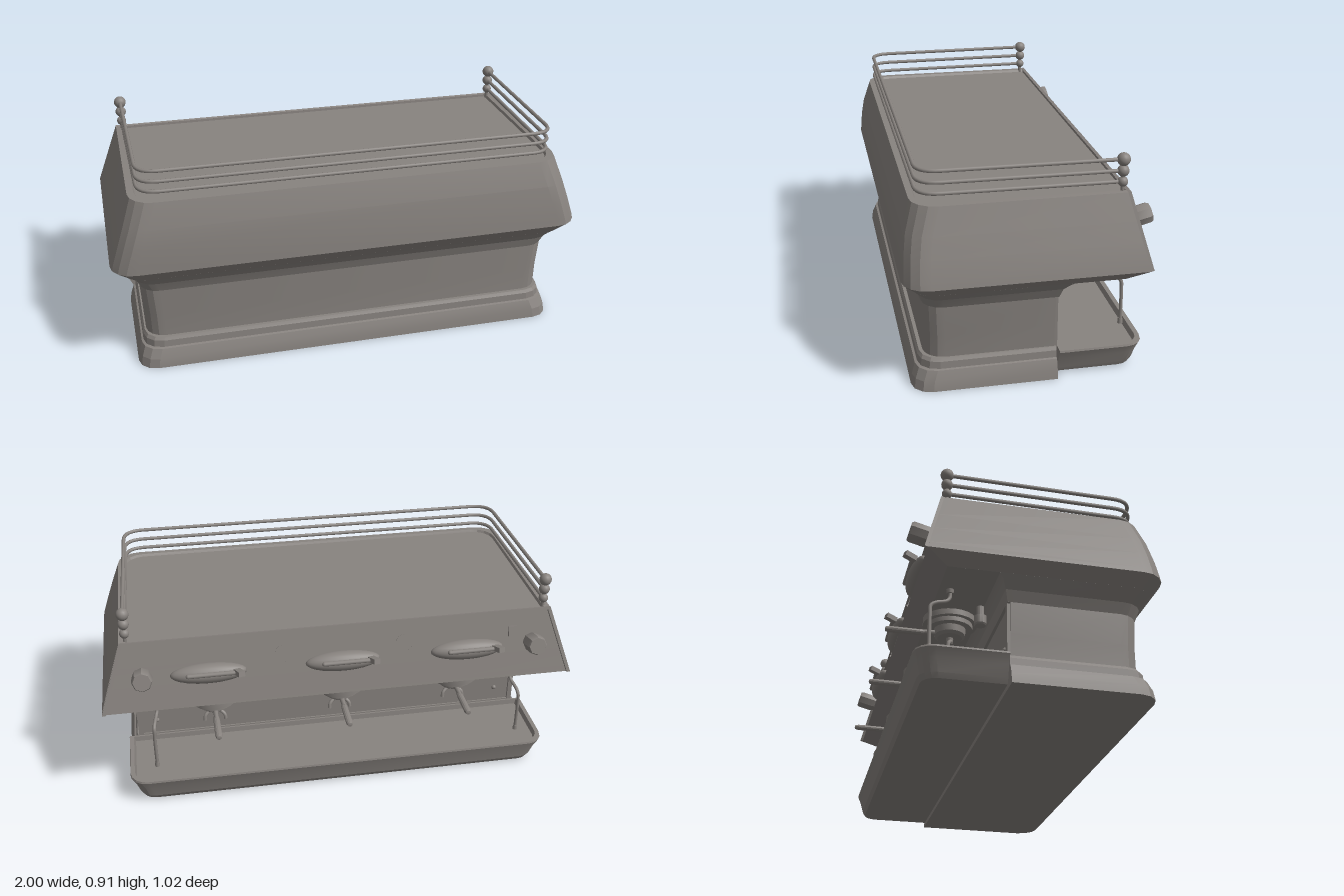
import * as THREE from 'three';
import { toCreasedNormals } from 'three/addons/utils/BufferGeometryUtils.js';

const mat = new THREE.MeshStandardMaterial({ color: 0x88837f });
const V = (x, y, z) => new THREE.Vector3(x, y, z);

function add(parent, name, geo, pos = [0, 0, 0], rot = [0, 0, 0], scale = [1, 1, 1]) {
  const m = new THREE.Mesh(geo, mat);
  m.name = name;
  m.position.set(...pos);
  m.rotation.set(...rot);
  m.scale.set(...scale);
  parent.add(m);
}

// Plan outline: square corners at zb, faceted round corners at zf
function ring([y, w, zb, zf, r], n) {
  const pts = [[w, y, zb]];
  for (const side of [1, -1]) {
    for (let i = 0; i <= n; i++) {
      const a = (side > 0 ? i / n : 1 - i / n) * Math.PI / 2;
      pts.push([side * (w - r + r * Math.cos(a)), y, zf - r + r * Math.sin(a)]);
    }
  }
  pts.push([-w, y, zb]);
  return pts;
}

// Closed shell through a stack of outlines [y, halfWidth, zBack, zFront, radius]
function loft(sections, corner) {
  const rings = sections.map(s => ring(s, corner)), n = rings[0].length, idx = [];
  for (let k = 0; k < rings.length - 1; k++) {
    for (let i = 0; i < n; i++) {
      const a = k * n + i, b = k * n + (i + 1) % n;
      idx.push(a, a + n, b, b, a + n, b + n);
    }
  }
  const top = (rings.length - 1) * n;
  for (let i = 1; i < n - 1; i++) idx.push(0, i, i + 1, top, top + i + 1, top + i);
  const g = new THREE.BufferGeometry();
  g.setAttribute('position', new THREE.Float32BufferAttribute(rings.flat(2), 3));
  g.setIndex(idx);
  return toCreasedNormals(g, 0.25);
}

const lathe = (pts, seg = 24) =>
  toCreasedNormals(new THREE.LatheGeometry(pts.map(p => new THREE.Vector2(...p)), seg), 0.5);
const tube = (pts, r, seg = 24) =>
  new THREE.TubeGeometry(new THREE.CatmullRomCurve3(pts, false, 'centripetal'), seg, r, 8);

// U-shaped rail with rounded front corners
function railGeometry(y) {
  const xb = 0.878, xf = 0.868, zb = -0.333, zf = 0.441, r = 0.09;
  const path = new THREE.CurvePath();
  path.add(new THREE.LineCurve3(V(-xb, y, zb), V(-xf, y, zf - r)));
  path.add(new THREE.QuadraticBezierCurve3(V(-xf, y, zf - r), V(-xf, y, zf), V(-xf + r, y, zf)));
  path.add(new THREE.LineCurve3(V(-xf + r, y, zf), V(xf - r, y, zf)));
  path.add(new THREE.QuadraticBezierCurve3(V(xf - r, y, zf), V(xf, y, zf), V(xf, y, zf - r)));
  path.add(new THREE.LineCurve3(V(xf, y, zf - r), V(xb, y, zb)));
  return new THREE.TubeGeometry(path, 160, 0.008, 8);
}

function brewGroup(x) {
  const g = new THREE.Group();
  g.name = 'brewGroup';
  g.position.set(x, 0, -0.248);
  add(g, 'groupHead', lathe([[0, 0.35], [0.05, 0.35], [0.062, 0.36], [0.065, 0.387], [0.092, 0.387],
    [0.092, 0.406], [0.11, 0.406], [0.11, 0.435]]));
  add(g, 'filterArm', new THREE.CylinderGeometry(0.009, 0.012, 0.08, 10), [0, 0.37, -0.085], [-Math.PI / 2, 0, 0]);
  add(g, 'filterHandle', lathe([[0, 0], [0.011, 0], [0.014, 0.03], [0.015, 0.14], [0.011, 0.155], [0, 0.158]], 12),
    [0, 0.366, -0.105], [-Math.PI / 2, 0, 0], [1, 1, 0.85]);
  add(g, 'spoutStem', new THREE.CylinderGeometry(0.016, 0.012, 0.03, 10), [0, 0.34, 0]);
  for (const s of [-1, 1]) {
    add(g, 'spout', tube([V(0, 0.338, 0.005), V(s * 0.025, 0.325, -0.002), V(s * 0.042, 0.31, -0.012),
      V(s * 0.045, 0.29, -0.016)], 0.008, 10));
  }
  return g;
}

// Raised edge around the top and sides of the control panel
function panelRim() {
  const s = new THREE.Shape();
  s.moveTo(1, -0.15).lineTo(0.905, 0.15).lineTo(-0.905, 0.15).lineTo(-1, -0.15);
  s.lineTo(-0.985, -0.15).lineTo(-0.894, 0.138).lineTo(0.894, 0.138).lineTo(0.985, -0.15);
  return new THREE.ExtrudeGeometry(s, { depth: 0.0125, bevelEnabled: false });
}

export function createModel() {
  const model = new THREE.Group();
  model.name = 'espressoMachine';

  // Base plinth with stepped moulding
  add(model, 'base', loft([
    [0, 0.92, -0.092, 0.48, 0.08], [0.04, 0.914, -0.092, 0.475, 0.08], [0.08, 0.9, -0.092, 0.46, 0.08],
    [0.083, 0.892, -0.092, 0.45, 0.08], [0.112, 0.89, -0.092, 0.448, 0.08], [0.125, 0.883, -0.092, 0.441, 0.08],
  ], 3));

  // Waist, flared shoulder, overhanging hood and recessed lid in one shell
  add(model, 'body', loft([
    [0.12, 0.876, -0.085, 0.427, 0.08], [0.22, 0.879, -0.085, 0.426, 0.08], [0.345, 0.888, -0.085, 0.43, 0.08],
    [0.3451, 0.888, -0.097, 0.43, 0.08], [0.387, 0.908, -0.108, 0.445, 0.085], [0.415, 0.937, -0.125, 0.464, 0.09],
    [0.43, 0.952, -0.14, 0.477, 0.09], [0.4301, 0.952, -0.34, 0.477, 0.09], [0.475, 1, -0.4225, 0.513, 0.1],
    [0.5, 0.994, -0.416, 0.512, 0.1], [0.58, 0.968, -0.3955, 0.507, 0.1], [0.66, 0.941, -0.3745, 0.496, 0.1],
    [0.765, 0.905, -0.3475, 0.465, 0.1], [0.7651, 0.878, -0.347, 0.442, 0.09], [0.755, 0.872, -0.346, 0.436, 0.085],
  ], 4));
  for (const s of [-1, 1]) {
    add(model, 'backJamb', new THREE.BoxGeometry(0.02, 0.226, 0.02), [s * 0.866, 0.233, -0.087]);
    add(model, 'wallBolt', new THREE.SphereGeometry(0.011, 10, 8), [s * 0.79, 0.19, -0.085]);
  }

  // Drip tray, lofted facing forward then turned to the back
  add(model, 'dripTray', loft([
    [0.01, 0.875, 0.097, 0.41, 0.06], [0.03, 0.885, 0.097, 0.422, 0.065], [0.08, 0.902, 0.097, 0.434, 0.07],
    [0.115, 0.92, 0.097, 0.445, 0.075], [0.123, 0.918, 0.097, 0.443, 0.075], [0.1231, 0.9, 0.105, 0.424, 0.06],
    [0.1, 0.893, 0.108, 0.416, 0.055],
  ], 4), [0, 0, 0], [0, Math.PI, 0]);

  // Cup rails with ball posts
  for (const [y, r] of [[0.8, 0.02], [0.843, 0.023], [0.888, 0.026]]) {
    add(model, 'cupRail', railGeometry(y));
    for (const s of [-1, 1]) add(model, 'railBall', new THREE.SphereGeometry(r, 16, 12), [s * 0.878, y, -0.333]);
  }
  for (const s of [-1, 1]) {
    add(model, 'railPost', new THREE.CylinderGeometry(0.008, 0.008, 0.14, 10), [s * 0.878, 0.82, -0.333]);
  }

  // Brew groups
  for (const x of [-0.53, -0.015, 0.535]) model.add(brewGroup(x));

  // Sloped control panel: local z points out of the panel, local x is mirrored
  const panel = new THREE.Group();
  panel.name = 'controlPanel';
  panel.position.set(0, 0.62, -0.385);
  panel.rotation.set(0.253, Math.PI, 0);
  model.add(panel);
  add(panel, 'panelRim', panelRim());
  for (const x of [-0.54, -0.005, 0.555]) {
    const p = new THREE.Group();
    p.name = 'paddleControl';
    p.position.x = -x;
    panel.add(p);
    add(p, 'paddleBezel', lathe([[0, 0.008], [0.96, 0.008], [1, 0]], 32), [0, 0, 0], [Math.PI / 2, 0, 0], [0.168, 1, 0.055]);
    add(p, 'paddleHousing', new THREE.SphereGeometry(1, 28, 14), [0, -0.008, 0], [0, 0, 0], [0.158, 0.043, 0.044]);
    add(p, 'paddleLever', new THREE.CapsuleGeometry(0.01, 0.19, 4, 10), [0.01, -0.004, 0.042], [0, 0, Math.PI / 2]);
    add(p, 'paddleTab', new THREE.BoxGeometry(0.028, 0.022, 0.05), [0.122, -0.002, 0.054], [0, 0.35, 0]);
  }
  for (const s of [-1, 1]) {
    add(panel, 'steamKnob', lathe([[0, 0], [0.036, 0], [0.042, 0.02], [0.042, 0.08], [0.037, 0.089], [0, 0.089]], 8),
      [s * 0.825, 0.003, -0.003], [Math.PI / 2, 0, 0]);
  }
  for (const x of [-0.265, 0.245]) {
    add(panel, 'gauge', lathe([[0, 0.002], [0.033, 0.002], [0.034, 0.007], [0.04, 0.006], [0.042, 0]], 24),
      [-x, 0.05, 0], [Math.PI / 2, 0, 0]);
  }
  add(panel, 'powerSwitch', new THREE.BoxGeometry(0.035, 0.045, 0.022), [0.74, 0.055, 0.001]);

  // Steam wands
  for (const s of [-1, 1]) {
    add(model, 'steamWand', tube([V(s * 0.78, 0.435, -0.296), V(s * 0.78, 0.395, -0.297), V(s * 0.784, 0.378, -0.31),
      V(s * 0.795, 0.36, -0.355), V(s * 0.798, 0.345, -0.373), V(s * 0.8, 0.3, -0.376), V(s * 0.8, 0.17, -0.377)], 0.0075, 36));
    add(model, 'wandCollar', new THREE.CylinderGeometry(0.016, 0.013, 0.02, 12), [s * 0.78, 0.424, -0.296]);
    add(model, 'wandTip', new THREE.CylinderGeometry(0.009, 0.011, 0.022, 10), [s * 0.8, 0.168, -0.377]);
  }

  // Hot water outlet
  add(model, 'waterOutlet', lathe([[0, 0.348], [0.022, 0.348], [0.026, 0.354], [0.026, 0.388], [0.016, 0.392], [0.016, 0.435]], 14),
    [-0.67, 0, -0.153]);

  return model;
}
